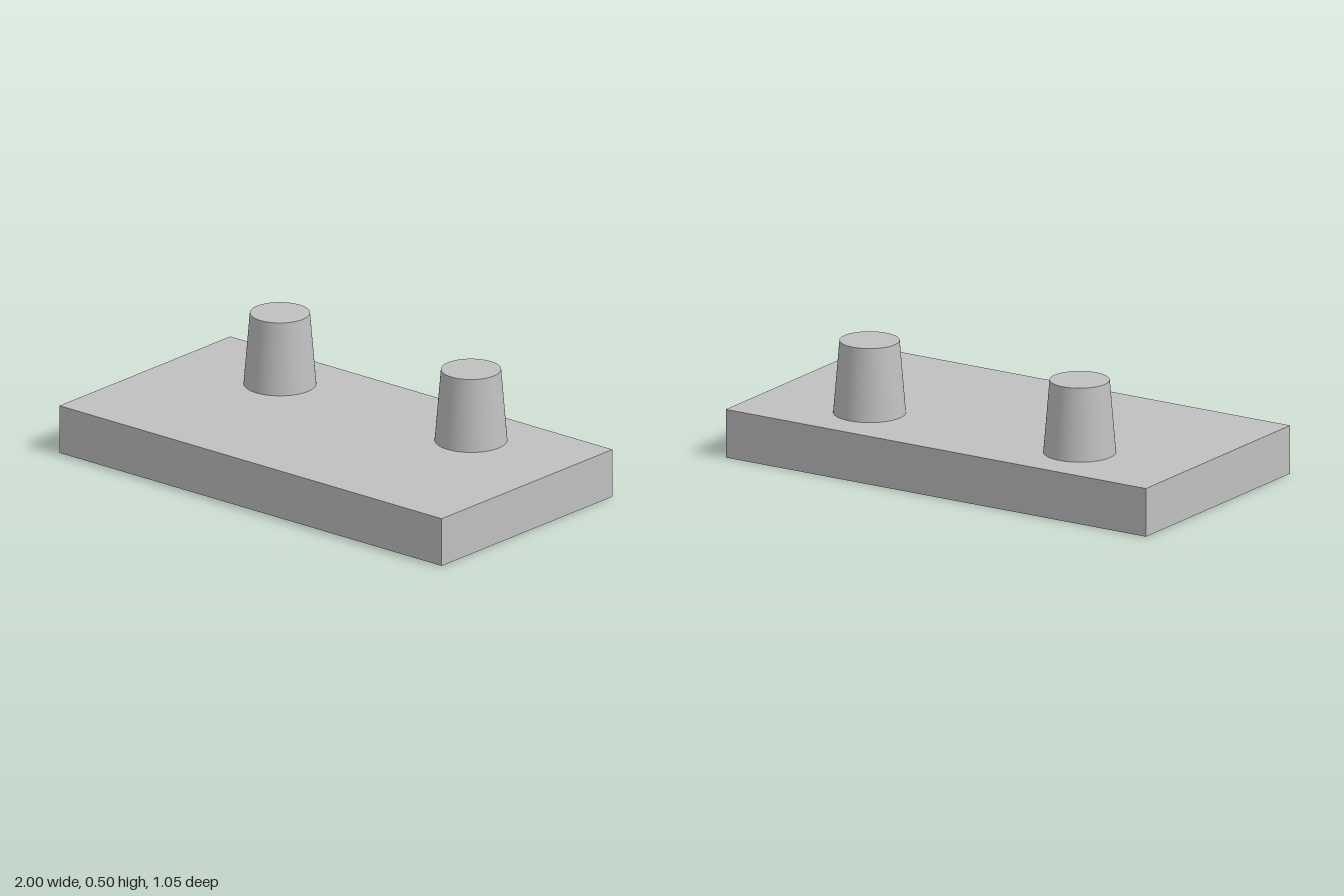
import * as THREE from 'three';

export function createModel() {
  const model = new THREE.Group();
  const grey = new THREE.MeshStandardMaterial({ color: 0xc0c0c0 });
  grey.name = 'grey';

  const baseHeight = 0.2;
  const pegHeight = 0.3;

  // Flat rectangular base
  const base = new THREE.Mesh(new THREE.BoxGeometry(2, baseHeight, 1.046), grey);
  base.name = 'base';
  base.position.y = baseHeight / 2;
  model.add(base);

  // Two tapered pegs, mirrored across the middle and set towards the back
  const pegGeometry = new THREE.CylinderGeometry(0.12, 0.145, pegHeight, 64);
  for (const side of [-1, 1]) {
    const peg = new THREE.Mesh(pegGeometry, grey);
    peg.name = side > 0 ? 'leftPeg' : 'rightPeg';
    peg.position.set(side * 0.5, baseHeight + pegHeight / 2, -0.242);
    model.add(peg);
  }

  return model;
}
